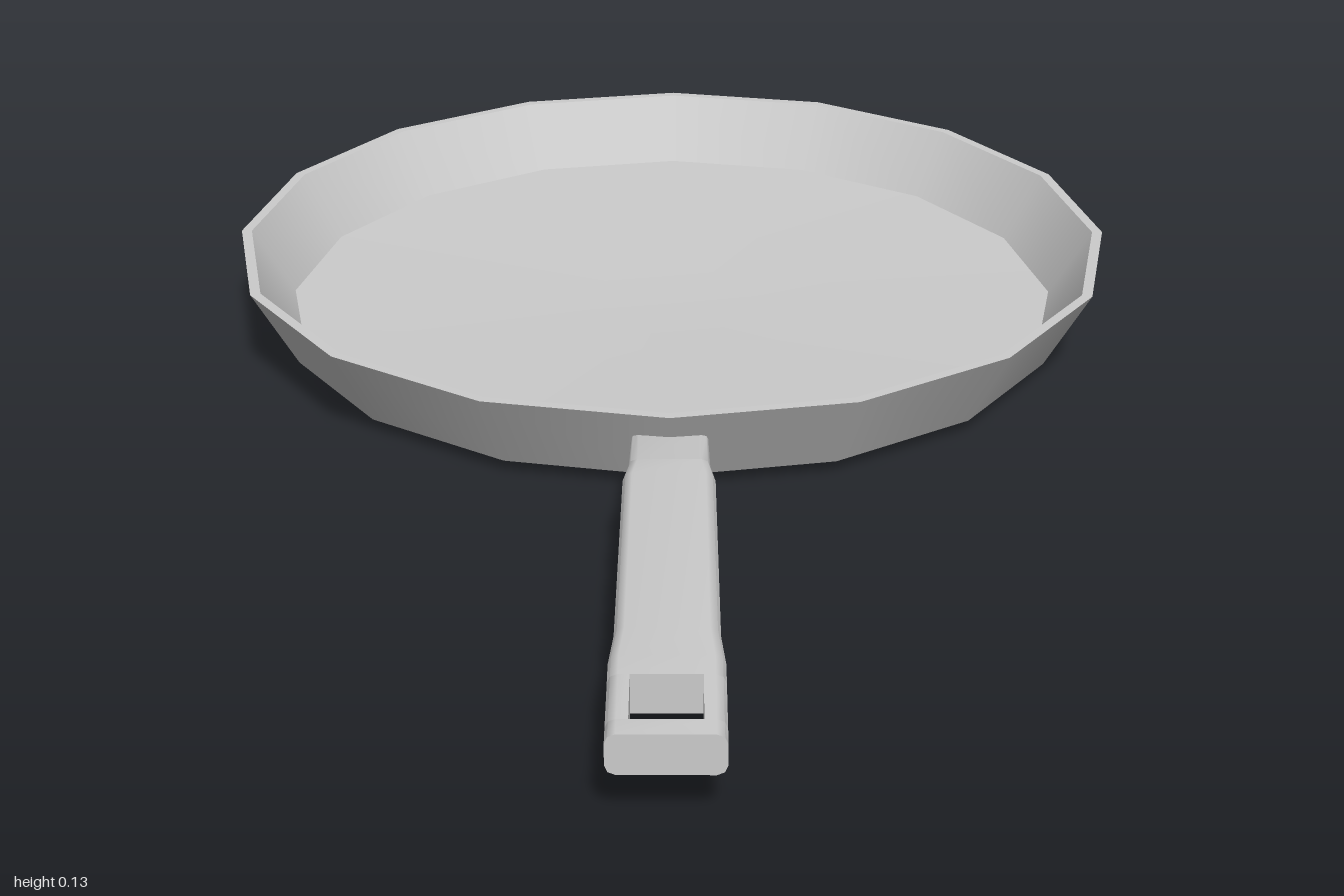
import * as THREE from 'three';
import { toCreasedNormals } from 'three/addons/utils/BufferGeometryUtils.js';

const SIDES = 16;
const PAN_Z = -0.355;
const material = new THREE.MeshStandardMaterial({ color: 0xcccccc });

function addMesh(parent, name, geometry) {
  const mesh = new THREE.Mesh(geometry, material);
  mesh.name = name;
  parent.add(mesh);
  return mesh;
}

// Rounded rectangle, counter-clockwise in xy, at one station of the handle
function section([z, halfW, bottom, top, r = 0.012]) {
  const corners = [
    [halfW - r, bottom + r, -90], [halfW - r, top - r, 0],
    [-halfW + r, top - r, 90], [-halfW + r, bottom + r, 180],
  ];
  const ring = [];
  for (const [x, y, start] of corners) {
    for (let i = 0; i <= 2; i++) {
      const a = THREE.MathUtils.degToRad(start + i * 45);
      ring.push(new THREE.Vector3(x + r * Math.cos(a), y + r * Math.sin(a), z));
    }
  }
  return ring;
}

// Only the outer strip of a station, beside the hanging hole
function railSection(station, innerX, side) {
  const [z, , bottom, top] = station;
  const ring = section(station).slice(0, 6);
  ring.push(new THREE.Vector3(innerX, top, z), new THREE.Vector3(innerX, bottom, z));
  if (side < 0) {
    ring.forEach((p) => { p.x *= -1; });
    ring.reverse();
  }
  return ring;
}

// Closed solid through rings of equal length, ordered along +z
function loft(rings) {
  const n = rings[0].length;
  const positions = [];
  const tri = (...pts) => pts.forEach((p) => positions.push(p.x, p.y, p.z));
  for (let k = 0; k < rings.length - 1; k++) {
    for (let j = 0; j < n; j++) {
      const a = rings[k][j], b = rings[k][(j + 1) % n];
      const d = rings[k + 1][j], c = rings[k + 1][(j + 1) % n];
      tri(a, b, c);
      tri(a, c, d);
    }
  }
  const first = rings[0], last = rings[rings.length - 1];
  for (let j = 1; j < n - 1; j++) {
    tri(first[0], first[j + 1], first[j]);
    tri(last[0], last[j], last[j + 1]);
  }
  const geometry = new THREE.BufferGeometry();
  geometry.setAttribute('position', new THREE.Float32BufferAttribute(positions, 3));
  return toCreasedNormals(geometry, 0.9);
}

export function createModel() {
  const model = new THREE.Group();
  model.name = 'fryingPan';

  // Pan body: separate turned bands keep the rim and base edges sharp
  const pan = new THREE.Group();
  pan.name = 'pan';
  pan.position.z = PAN_Z;
  model.add(pan);
  const bands = {
    base: [[0, 0.003], [0.13, 0.003], [0.58, 0.021]],
    outerWall: [[0.58, 0.021], [0.645, 0.137]],
    rim: [[0.645, 0.137], [0.63, 0.137]],
    innerWall: [[0.63, 0.137], [0.57, 0.04]],
    floor: [[0.57, 0.04], [0.13, 0.025], [0, 0.025]],
  };
  for (const [name, profile] of Object.entries(bands)) {
    const points = profile.map(([r, y]) => new THREE.Vector2(r, y - 0.003));
    addMesh(pan, name, new THREE.LatheGeometry(points, SIDES));
  }

  // Handle: neck and grip, two rails beside the hole, and the tip
  const handle = new THREE.Group();
  handle.name = 'handle';
  model.add(handle);
  const holeStart = [0.88, 0.065, 0.062, 0.112];
  const holeEnd = [0.97, 0.065, 0.062, 0.112];
  const neck = [
    [0.25, 0.05, 0.07, 0.094, 0.008],
    [0.36, 0.052, 0.074, 0.109],
  ];
  const grip = [
    [0.36, 0.052, 0.073, 0.111],
    [0.4, 0.058, 0.066, 0.112],
    [0.78, 0.06, 0.063, 0.112],
    [0.84, 0.065, 0.062, 0.112],
    holeStart,
  ];
  addMesh(handle, 'neck', loft(neck.map(section)));
  addMesh(handle, 'grip', loft(grip.map(section)));
  for (const side of [1, -1]) {
    const rings = [holeStart, holeEnd].map((s) => railSection(s, 0.04, side));
    addMesh(handle, side > 0 ? 'leftHoleRail' : 'rightHoleRail', loft(rings));
  }
  addMesh(handle, 'tip', loft([holeEnd, [1, 0.065, 0.062, 0.112]].map(section)));

  return model;
}
